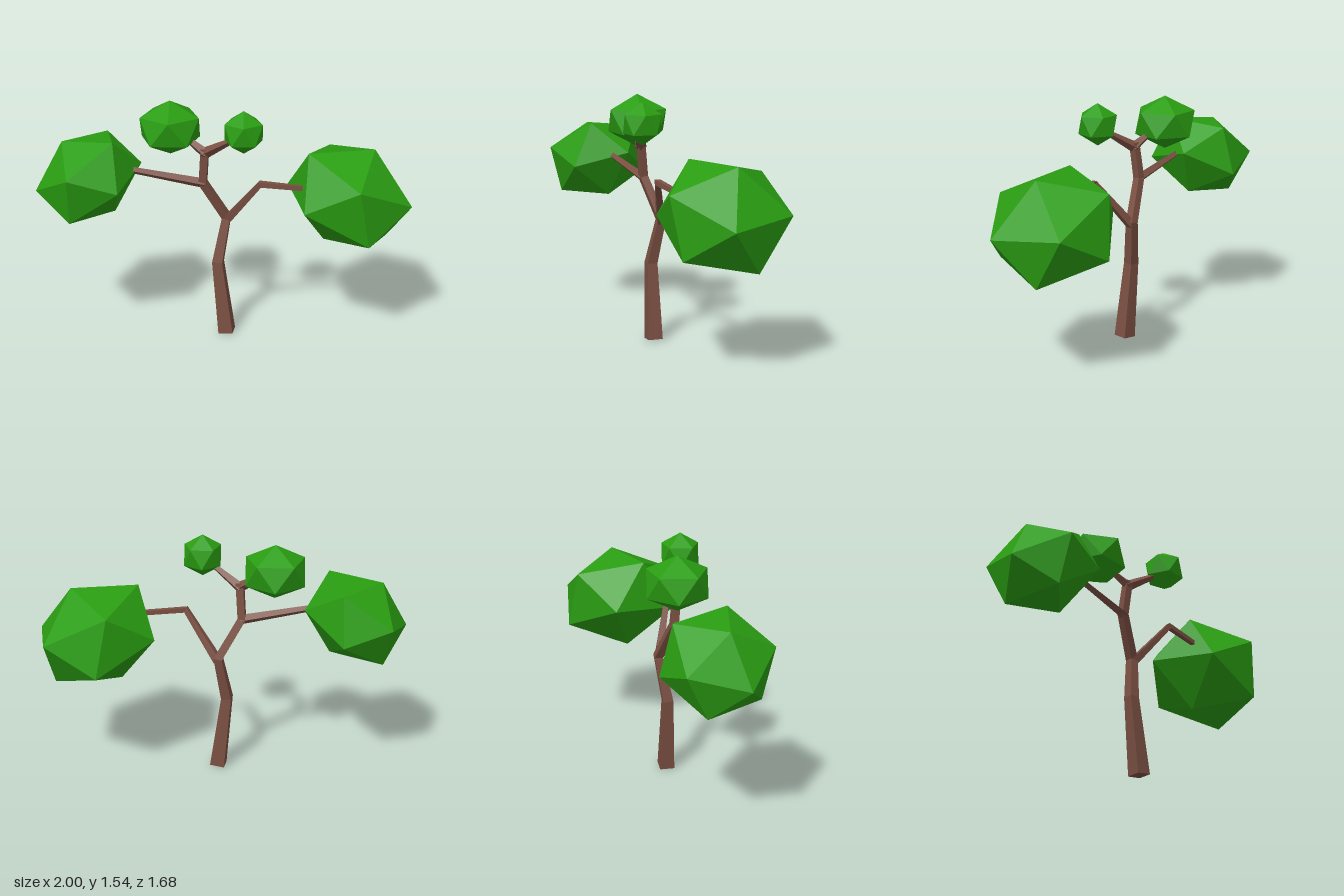
import * as THREE from 'three';
import { ConvexGeometry } from 'three/addons/geometries/ConvexGeometry.js';

const V = (a) => new THREE.Vector3(...a);

// Square limb along a path of [x, y, z, radius]; ref points towards one corner
function limbGeometry(path, ref) {
  const pts = path.map((p) => V(p.slice(0, 3)));
  const pos = [], idx = [];
  let u = V(ref);
  pts.forEach((p, i) => {
    const t = new THREE.Vector3();
    if (i > 0) t.add(p.clone().sub(pts[i - 1]).normalize());
    if (i < pts.length - 1) t.add(pts[i + 1].clone().sub(p).normalize());
    t.normalize();
    u = u.clone().addScaledVector(t, -u.dot(t)).normalize();
    const v = t.clone().cross(u);
    for (let k = 0; k < 4; k++) {
      const a = (k * Math.PI) / 2;
      const c = p.clone().addScaledVector(u, path[i][3] * Math.cos(a)).addScaledVector(v, path[i][3] * Math.sin(a));
      pos.push(c.x, c.y, c.z);
      if (i > 0) {
        const a0 = (i - 1) * 4 + k, b0 = (i - 1) * 4 + ((k + 1) % 4);
        idx.push(a0, b0, b0 + 4, a0, b0 + 4, a0 + 4);
      }
    }
  });
  const e = (pts.length - 1) * 4;
  idx.push(0, 2, 1, 0, 3, 2, e, e + 1, e + 2, e, e + 2, e + 3);
  const g = new THREE.BufferGeometry();
  g.setAttribute('position', new THREE.Float32BufferAttribute(pos, 3));
  g.setIndex(idx);
  g.computeVertexNormals();
  return g;
}

// Icosahedron flattened along its pole; hint points towards one upper corner
function crownGeometry(radius, pole, hint) {
  const p = V(pole), n = p.clone().normalize();
  const u = V(hint);
  u.addScaledVector(n, -u.dot(n)).normalize();
  const v = n.clone().cross(u);
  const pts = [p.clone(), p.clone().negate()];
  for (let k = 0; k < 5; k++) {
    const a = (k * Math.PI * 2) / 5;
    const c = p.clone().multiplyScalar(0.447)
      .addScaledVector(u, 0.894 * radius * Math.cos(a))
      .addScaledVector(v, 0.894 * radius * Math.sin(a));
    pts.push(c, c.clone().negate());
  }
  return new ConvexGeometry(pts);
}

export function createModel() {
  const tree = new THREE.Group();
  tree.name = 'tree';
  const bark = new THREE.MeshStandardMaterial({ color: 0x7a4f42, flatShading: true });
  const leaf = new THREE.MeshStandardMaterial({ color: 0x2a9d12, flatShading: true });

  const add = (name, geometry, material, at = [0, 0, 0]) => {
    const m = new THREE.Mesh(geometry, material);
    m.name = name;
    m.position.set(...at);
    tree.add(m);
  };

  // Trunk and branches
  const limbs = {
    trunk: [[0.95, 0, 0.31], [
      [0.022, 0.01, 0.043, 0.066], [-0.03, 0.5, 0.066, 0.046], [-0.012, 0.79, 0.0, 0.038],
      [-0.1, 1.04, 0.125, 0.035], [-0.073, 1.27, 0.137, 0.033]]],
    leftBranch: [[0.95, 0, 0.31], [
      [-0.01, 0.77, 0.0, 0.034], [0.237, 1.065, -0.015, 0.025], [0.445, 1.04, -0.165, 0.02]]],
    rightBranch: [[0, 1, 0], [[-0.09, 1.035, 0.12, 0.032], [-0.45, 1.12, 0.385, 0.021]]],
    topLeftTwig: [[0, 1, 0], [[-0.085, 1.235, 0.138, 0.036], [0.1, 1.345, 0.11, 0.019]]],
    topRightTwig: [[0, 1, 0], [[-0.06, 1.235, 0.135, 0.036], [-0.19, 1.32, 0.168, 0.019]]],
  };
  for (const [name, [ref, path]] of Object.entries(limbs)) add(name, limbGeometry(path, ref), bark);

  // Leaf crowns
  add('leftCrown', crownGeometry(0.42, [0.12, 0.3, -0.09], [0.388, -0.027, -0.1]), leaf, [0.607, 0.947, -0.446]);
  add('rightCrown', crownGeometry(0.35, [-0.123, 0.23, 0.096], [0.214, 0.257, 0]), leaf, [-0.681, 1.068, 0.53]);
  add('topRightCrown', crownGeometry(0.212, [0, 0.17, 0], [0, 0, -1]), leaf, [-0.298, 1.377, 0.195]);
  add('topLeftCrown', crownGeometry(0.134, [0, 0.133, 0], [0, 0, -1]), leaf, [0.182, 1.412, 0.086]);
  return tree;
}
